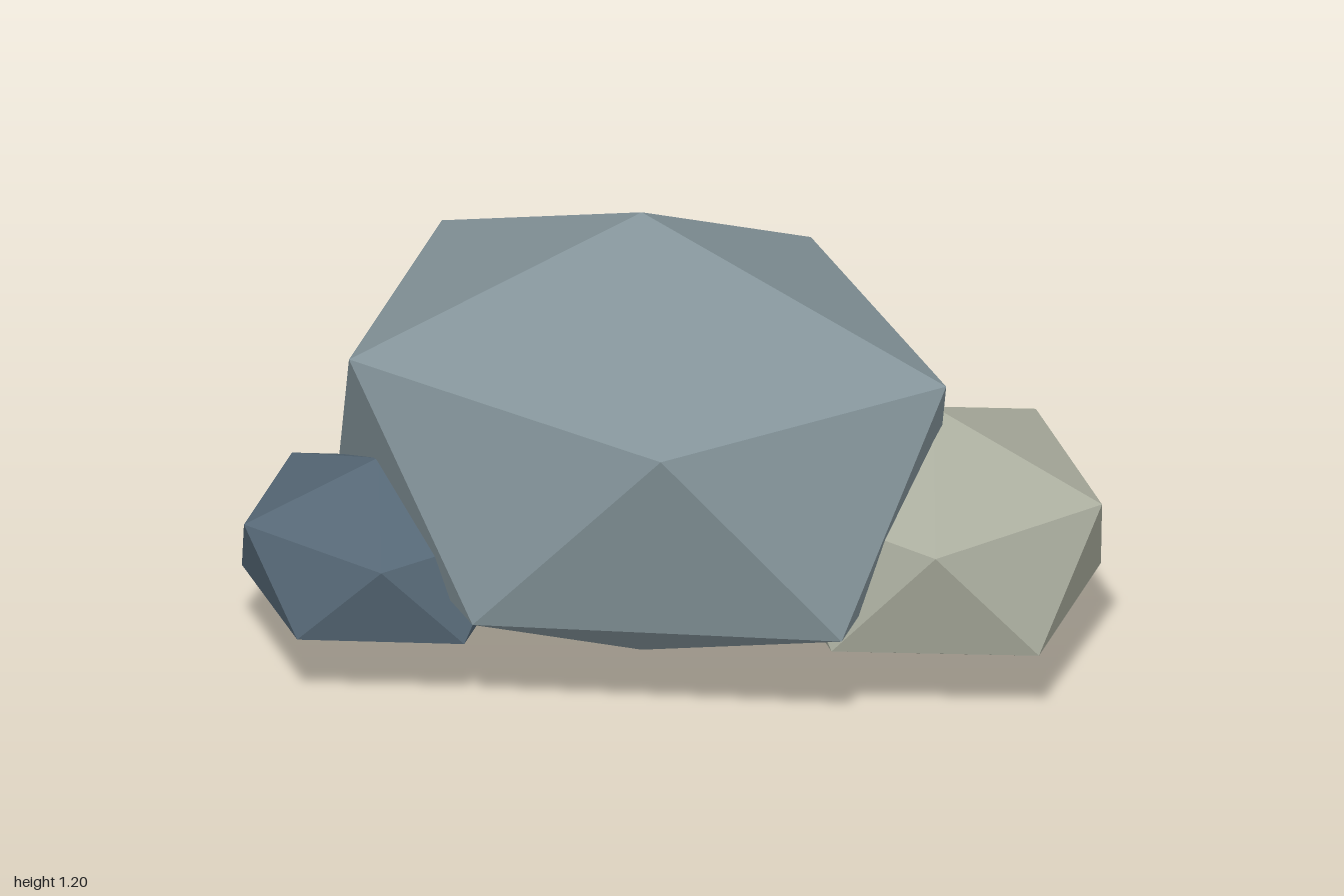
import * as THREE from 'three';

// Icosahedron standing on one corner, with an upper-ring corner towards +x
function makeRock(name, color, center, radii) {
  const golden = (1 + Math.sqrt(5)) / 2;
  const geometry = new THREE.IcosahedronGeometry(1, 0);
  geometry.rotateZ(-Math.atan(1 / golden));
  geometry.scale(...radii);
  geometry.computeVertexNormals();
  const rock = new THREE.Mesh(
    geometry,
    new THREE.MeshStandardMaterial({ color, flatShading: true })
  );
  rock.name = name;
  rock.position.set(...center);
  return rock;
}

export function createModel() {
  const group = new THREE.Group();
  group.name = 'rockCluster';
  group.add(
    // Large boulder in the middle
    makeRock('largeRock', 0x84949a, [-0.1, 0.602, -0.012], [0.85, 0.602, 0.644]),
    // Pale rock behind on the left
    makeRock('paleRock', 0xabae9f, [0.58, 0.38, -0.155], [0.47, 0.34, 0.43]),
    // Small dark rock in front on the right
    makeRock('darkRock', 0x566876, [-0.66, 0.333, 0.275], [0.38, 0.249, 0.333])
  );
  return group;
}
